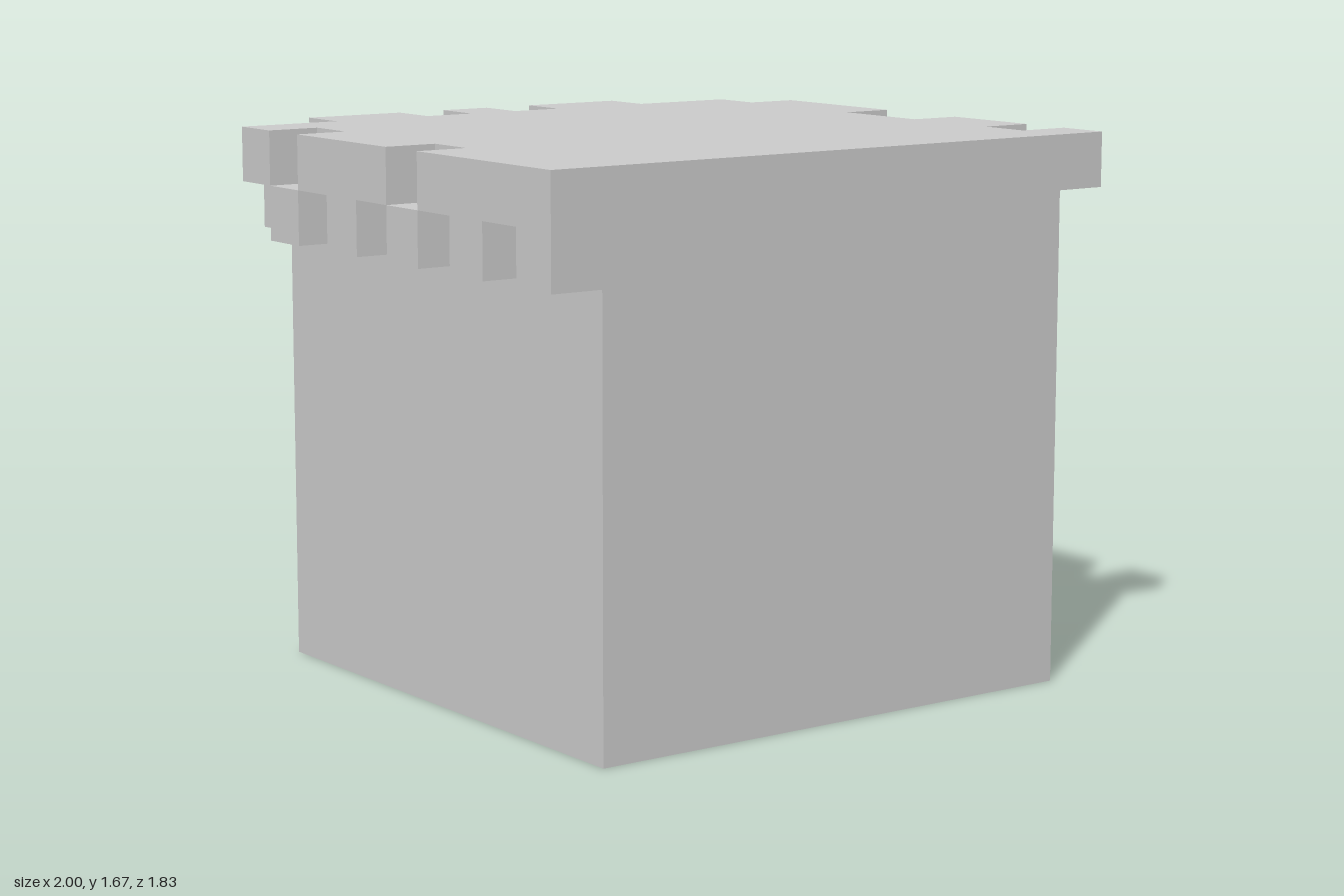
import * as THREE from 'three';

const U = 1 / 6; // one grid cell
const N = 10; // the block is N cells on each side
const Z0 = 0.5 * U; // the block sits forward, making room for the back rim
const material = new THREE.MeshStandardMaterial({ color: 0xcccccc, flatShading: true });

function box(name, w, h, d, x, y, z) {
  const mesh = new THREE.Mesh(new THREE.BoxGeometry(w, h, d), material);
  mesh.position.set(x, y, z);
  mesh.name = name;
  return mesh;
}

// Rim pattern of each side: upper and lower row of cells.
// Sides run from front to back, the back runs from -x to +x.
const rims = {
  leftRim: ['#.##..###.', '...###.###'],
  rightRim: ['####.###.#', '#.#.#.#.#.'],
  backRim: ['.##.#.##..', '#..###.#..'],
};

export function createModel() {
  const model = new THREE.Group();
  model.name = 'drippingBlock';

  // Main cube
  model.add(box('body', N * U, N * U, N * U, 0, N * U / 2, Z0));

  // Overhanging rim: one box per unbroken run of cells
  for (const [name, rows] of Object.entries(rims)) {
    const rim = new THREE.Group();
    rim.name = name;
    rows.forEach((row, r) => {
      const y = (N - 0.5 - r) * U;
      for (const run of row.matchAll(/#+/g)) {
        const length = run[0].length * U;
        const along = run.index * U + length / 2 - N * U / 2;
        const out = (N + 1) * U / 2;
        const part = r === 0 ? 'upperEdge' : 'lowerDrip';
        if (name === 'backRim') rim.add(box(part, length, U, U, along, y, Z0 - out));
        else rim.add(box(part, U, U, length, name === 'leftRim' ? out : -out, y, Z0 - along));
      }
    });
    model.add(rim);
  }
  return model;
}
